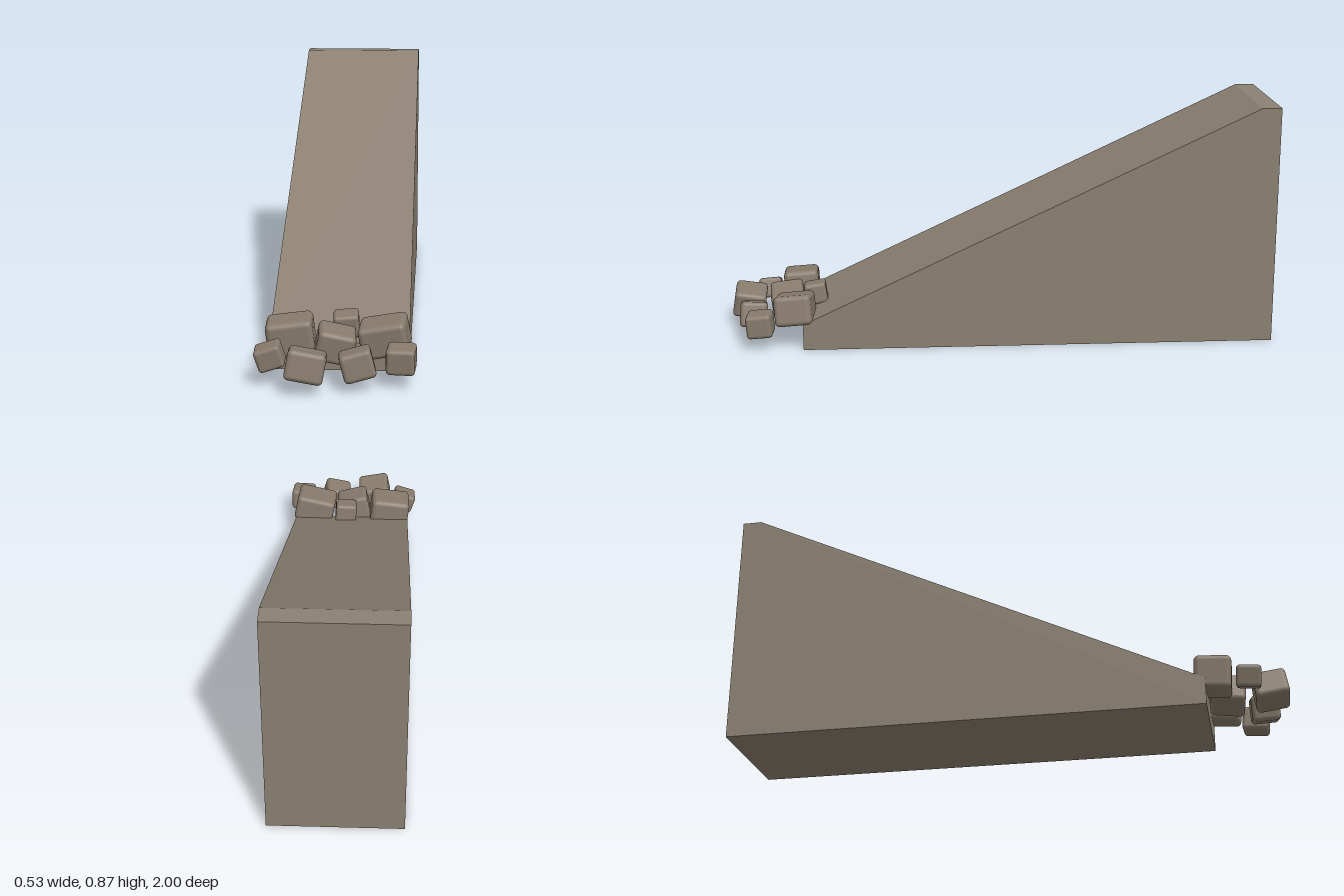
import * as THREE from 'three';
import { RoundedBoxGeometry } from 'three/addons/geometries/RoundedBoxGeometry.js';

export function createModel() {
  const model = new THREE.Group();
  model.name = 'rampWithRubble';

  const rampStone = new THREE.MeshStandardMaterial({ color: 0x8b8072 });
  rampStone.name = 'ramp stone';
  const rubbleStone = new THREE.MeshStandardMaterial({ color: 0x877b6c });
  rubbleStone.name = 'rubble stone';

  // Wedge: side profile in (z, y), extruded across the width
  const profile = new THREE.Shape([
    [0.715, 0], [0.715, 0.095], [-0.93, 0.87], [-1, 0.87], [-1, 0],
  ].map(([z, y]) => new THREE.Vector2(z, y)));
  const wedge = new THREE.ExtrudeGeometry(profile, { depth: 0.468, bevelEnabled: false });
  wedge.rotateY(-Math.PI / 2).translate(0.237, 0, 0);
  const ramp = new THREE.Mesh(wedge, rampStone);
  ramp.name = 'ramp';
  model.add(ramp);

  // Rounded stones heaped at the foot: name, centre, size, tilt in degrees
  const stones = [
    ['backLeftStone', [-0.154, 0.128, 0.738], [0.156, 0.12, 0.13], [3, 2, 7]],
    ['backSmallStone', [0.027, 0.152, 0.676], [0.085, 0.078, 0.08], [8, 3, 4]],
    ['backRightStone', [0.157, 0.132, 0.747], [0.158, 0.11, 0.135], [5, -3, 11]],
    ['middleStone', [-0.005, 0.115, 0.782], [0.125, 0.104, 0.122], [6, 4, -13]],
    ['frontLeftSmallStone', [-0.212, 0.095, 0.862], [0.088, 0.076, 0.085], [4, 2, 18]],
    ['frontLeftStone', [-0.09, 0.088, 0.932], [0.125, 0.1, 0.118], [-9, 3, -10]],
    ['frontRightStone', [0.074, 0.086, 0.905], [0.106, 0.094, 0.1], [-4, 5, 15]],
    ['frontRightSmallStone', [0.214, 0.095, 0.87], [0.094, 0.086, 0.092], [5, -4, 0]],
  ];
  const rubble = new THREE.Group();
  rubble.name = 'rubble';
  for (const [name, centre, size, tilt] of stones) {
    const radius = Math.min(...size) * 0.16;
    const stone = new THREE.Mesh(new RoundedBoxGeometry(...size, 3, radius), rubbleStone);
    stone.name = name;
    stone.position.set(...centre);
    stone.rotation.set(...tilt.map(THREE.MathUtils.degToRad));
    rubble.add(stone);
  }
  model.add(rubble);
  return model;
}
